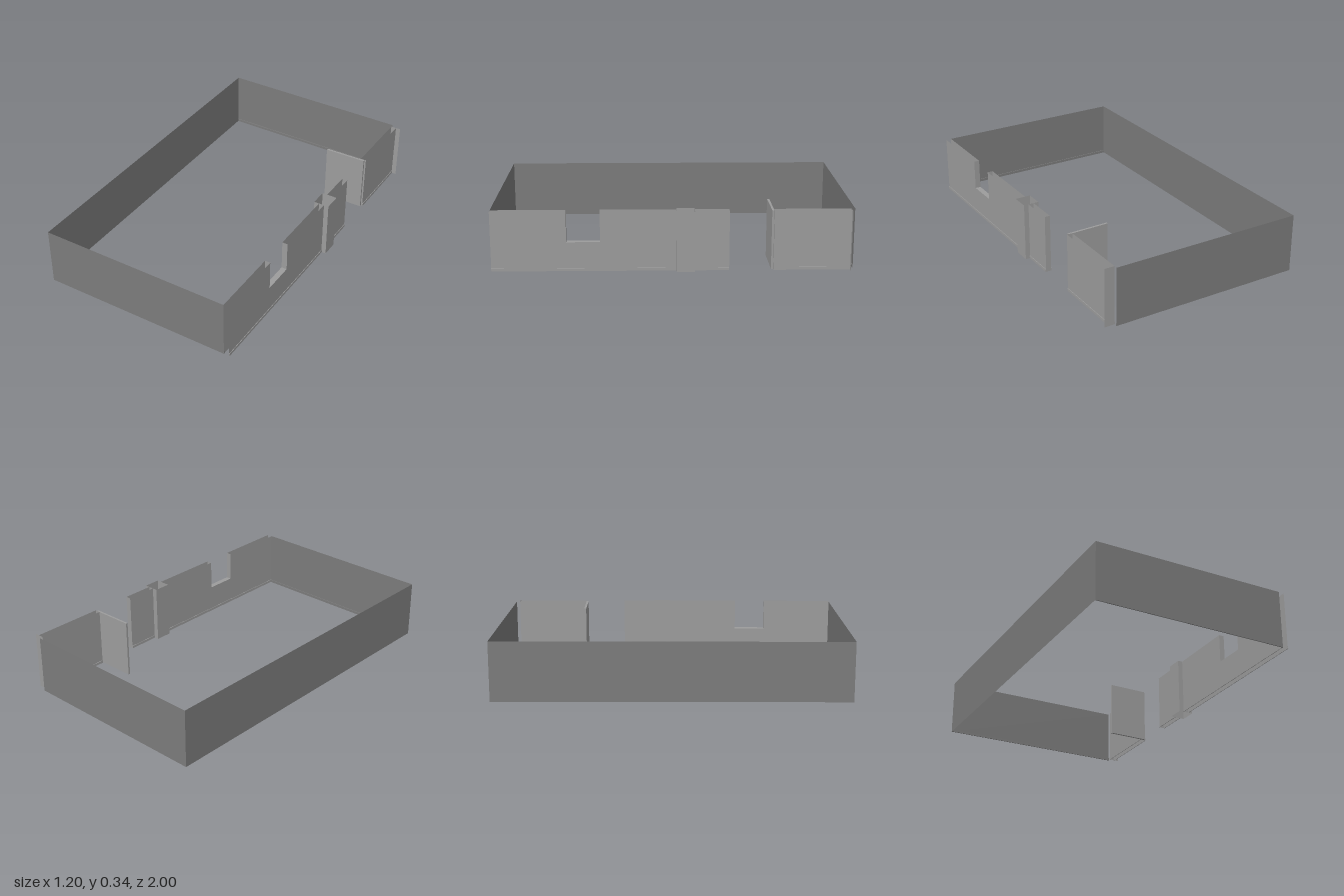
import * as THREE from 'three';

const H = 0.34, IN = 0.54, OUT = 0.572;
const SKIRT_H = 0.016;

export function createModel() {
  const model = new THREE.Group();
  const material = (color) => new THREE.MeshStandardMaterial({ color, side: THREE.DoubleSide, flatShading: true });
  const dark = material(0x7c7c7c), light = material(0x9d9d9d);

  const add = (name, geometry, mat = light, parent = model) => {
    const mesh = new THREE.Mesh(geometry, mat);
    mesh.name = name;
    parent.add(mesh);
    return mesh;
  };

  // Thin upright panel between two floor points
  const panel = (name, x0, z0, x1, z1, { y0 = 0, mat = light, parent = model } = {}) => {
    const g = new THREE.PlaneGeometry(Math.hypot(x1 - x0, z1 - z0), H - y0);
    g.rotateY(-Math.atan2(z1 - z0, x1 - x0));
    g.translate((x0 + x1) / 2, (y0 + H) / 2, (z0 + z1) / 2);
    add(name, g, mat, parent);
  };

  // Low strip along the foot of a wall
  const skirting = (name, x0, x1, z0, z1, mat) => {
    const g = new THREE.BoxGeometry(x1 - x0, SKIRT_H, z1 - z0);
    g.translate((x0 + x1) / 2, SKIRT_H / 2, (z0 + z1) / 2);
    add(name, g, mat);
  };

  // Single-skin walls on three sides
  panel('sideWall', -0.6, -1, -0.6, 1, { mat: dark });
  panel('backWall', -0.6, -1, IN, -1, { mat: dark });
  panel('frontWall', -0.6, 1, IN, 1, { mat: dark });
  skirting('backSkirting', -0.6, IN, -1, -0.995, dark);
  skirting('frontSkirting', -0.6, IN, 0.995, 1, dark);

  // Double-skin wall with a window notch and a doorway
  const win = { z0: 0.4, z1: 0.585, y: 0.165 };
  const segments = [
    [[-0.98, 0], [-0.555, 0], [-0.555, H], [-0.98, H]],
    [[-0.31, 0], [-0.12, 0], [-0.12, H], [-0.31, H]],
    [[-0.02, 0], [1, 0], [1, H], [win.z1, H], [win.z1, win.y], [win.z0, win.y], [win.z0, H], [-0.02, H]],
  ];
  for (const points of segments) {
    const shape = new THREE.Shape(points.map(([z, y]) => new THREE.Vector2(z, y)));
    for (const x of [IN, OUT]) {
      const g = new THREE.ShapeGeometry(shape);
      g.rotateY(-Math.PI / 2);
      g.translate(x, 0, 0);
      add(x === IN ? 'innerWallSkin' : 'outerWallSkin', g);
    }
    skirting('innerSkirting', IN - 0.003, IN, points[0][0], points[1][0], light);
    skirting('outerSkirting', OUT, OUT + 0.003, points[0][0], points[1][0], light);
  }

  // End panel at the back corner, reaching past the outer skin
  panel('endPanel', IN, -0.98, 0.6, -0.98);

  // Reveals of the doorway and the window
  for (const z of [-0.555, -0.31]) panel('doorJamb', IN, z, OUT, z);
  for (const z of [win.z0, win.z1]) panel('windowJamb', IN, z, OUT, z, { y0: win.y });
  const sill = new THREE.PlaneGeometry(OUT - IN, win.z1 - win.z0);
  sill.rotateX(-Math.PI / 2);
  sill.translate((IN + OUT) / 2, win.y, (win.z0 + win.z1) / 2);
  add('windowSill', sill);

  // Hollow pillar, open at both ends
  const pillar = new THREE.Group();
  pillar.name = 'pillar';
  model.add(pillar);
  const corners = [[0.51, -0.12], [0.6, -0.12], [0.6, -0.02], [0.51, -0.02]];
  corners.forEach(([x, z], i) => {
    const [x1, z1] = corners[(i + 1) % 4];
    panel('pillarFace', x, z, x1, z1, { parent: pillar });
  });

  // Door leaf swung inwards
  const door = add('door', new THREE.BoxGeometry(0.246, H - 0.004, 0.012));
  door.position.set(0.44, H / 2, -0.546);
  door.rotation.y = 0.016;

  return model;
}
